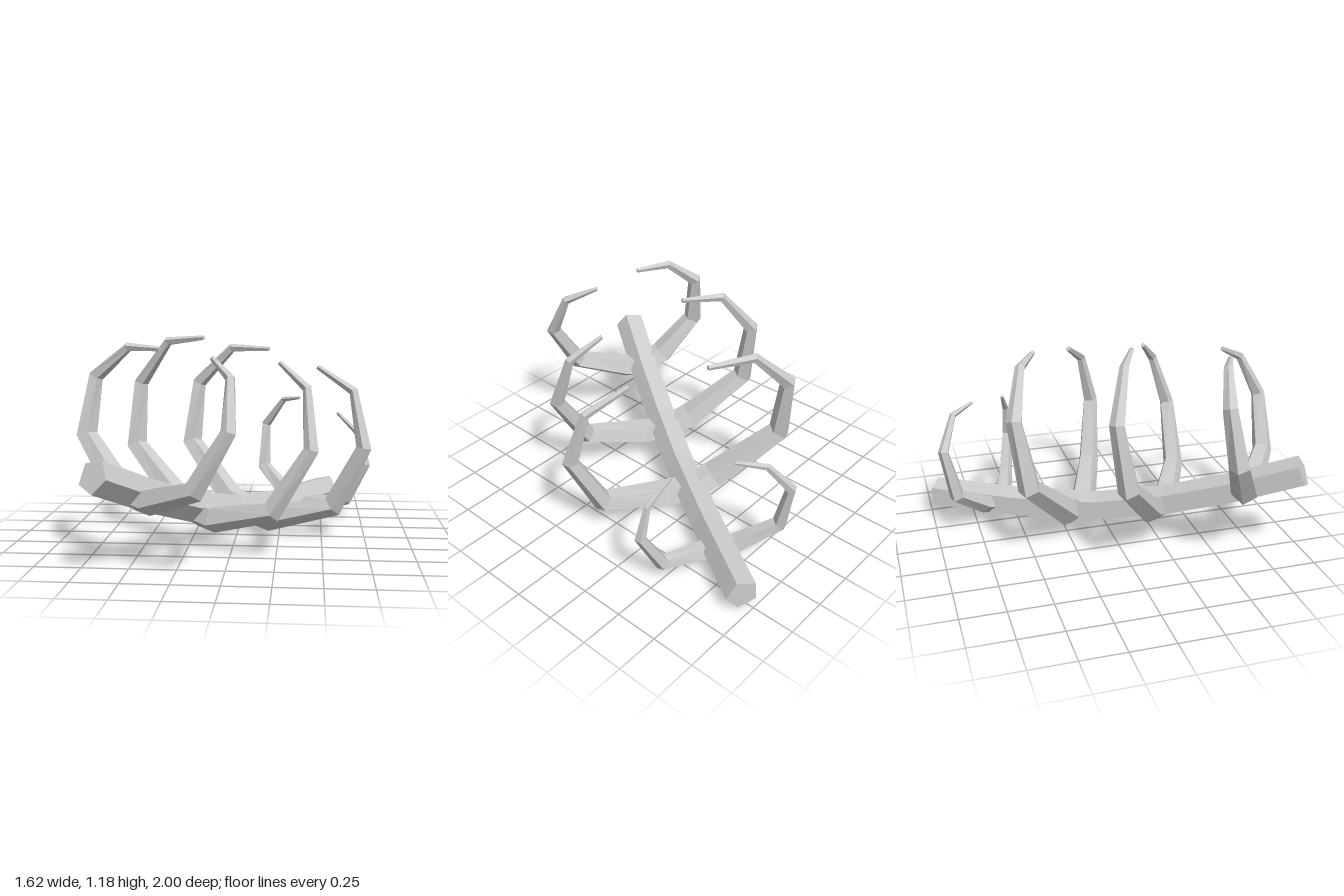
import * as THREE from 'three';

const SIDES = 5;
const material = new THREE.MeshStandardMaterial({ color: 0xcccccc, flatShading: true, side: THREE.DoubleSide });

// Sweeps a tapering pentagon along a bent path, with closed ends.
function sweep(name, path, radii, hint, phase = 0) {
  const pts = path.map((p) => new THREE.Vector3(...p));
  const last = pts.length - 1;
  const rings = pts.map((p, i) => {
    const before = pts[i].clone().sub(pts[Math.max(i - 1, 0)]).normalize();
    const after = pts[Math.min(i + 1, last)].clone().sub(pts[i]).normalize();
    const t = before.add(after).normalize();
    const u = hint.clone().addScaledVector(t, -hint.dot(t)).normalize();
    const v = t.clone().cross(u);
    return Array.from({ length: SIDES }, (_, j) => {
      const a = phase + (j / SIDES) * Math.PI * 2;
      return p.clone()
        .addScaledVector(v, Math.cos(a) * radii[i])
        .addScaledVector(u, -Math.sin(a) * radii[i]);
    });
  });

  const out = [];
  const tri = (...corners) => corners.forEach((c) => out.push(c.x, c.y, c.z));
  for (let i = 0; i < last; i++) {
    for (let j = 0; j < SIDES; j++) {
      const k = (j + 1) % SIDES;
      tri(rings[i][j], rings[i][k], rings[i + 1][k]);
      tri(rings[i][j], rings[i + 1][k], rings[i + 1][j]);
    }
  }
  for (let j = 1; j < SIDES - 1; j++) {
    tri(rings[0][0], rings[0][j + 1], rings[0][j]);
    tri(rings[last][0], rings[last][j], rings[last][j + 1]);
  }
  const geometry = new THREE.BufferGeometry();
  geometry.setAttribute('position', new THREE.Float32BufferAttribute(out, 3));
  geometry.computeVertexNormals();
  const mesh = new THREE.Mesh(geometry, material);
  mesh.name = name;
  return mesh;
}

// Each pair shares a root low in the spine; paths run elbow, side, shoulder, crown, tip.
const ribPairs = [
  {
    root: [-0.47, 0.375, 0.68], scale: 0.95,
    left: [[-0.39, 0.365, 0.75], [-0.13, 0.46, 0.935], [0.04, 0.75, 0.965], [0.035, 1.0, 0.83], [-0.07, 1.09, 0.67]],
    right: [[-0.59, 0.43, 0.62], [-0.765, 0.67, 0.5], [-0.72, 0.98, 0.45], [-0.53, 1.135, 0.51], [-0.35, 1.13, 0.6]],
  },
  {
    root: [-0.195, 0.195, 0.245], scale: 1,
    left: [[-0.1, 0.18, 0.33], [0.23, 0.265, 0.5], [0.435, 0.6, 0.52], [0.41, 0.915, 0.41], [0.26, 1.045, 0.3]],
    right: [[-0.34, 0.265, 0.15], [-0.6, 0.53, -0.05], [-0.58, 0.9, -0.11], [-0.4, 1.145, -0.02], [-0.18, 1.17, 0.09]],
  },
  {
    root: [0.075, 0.11, -0.195], scale: 1.05,
    left: [[0.18, 0.09, -0.105], [0.565, 0.2, 0.035], [0.735, 0.55, 0.095], [0.675, 0.865, 0.02], [0.47, 0.995, -0.11]],
    right: [[-0.06, 0.17, -0.265], [-0.33, 0.48, -0.53], [-0.29, 0.86, -0.59], [-0.07, 1.085, -0.51], [0.17, 1.085, -0.39]],
  },
  {
    root: [0.335, 0.085, -0.62], scale: 0.72,
    left: [[0.4, 0.075, -0.57], [0.66, 0.13, -0.5], [0.78, 0.36, -0.46], [0.735, 0.55, -0.47], [0.6, 0.68, -0.51]],
    right: [[0.265, 0.125, -0.705], [0.12, 0.27, -0.875], [0.13, 0.55, -0.935], [0.25, 0.725, -0.855], [0.36, 0.75, -0.73]],
  },
];
const ribRadii = [0.08, 0.08, 0.062, 0.044, 0.027, 0.014];

export function createModel() {
  const model = new THREE.Group();
  model.name = 'ribCage';

  // Spine, from the low back end to the raised front end
  const heights = [[-0.955, 0.105], [-0.45, 0.11], [-0.05, 0.15], [0.3, 0.245], [0.62, 0.37], [0.945, 0.525]];
  const spinePath = heights.map(([z, y]) => [-0.048 - z * 0.616, y, z]);
  model.add(sweep('spine', spinePath, heights.map(() => 0.093),
    new THREE.Vector3(0, 1, 0), THREE.MathUtils.degToRad(176)));

  // Ribs, one ridge of each pointing outward
  const along = new THREE.Vector3(-0.525, 0, 0.85);
  ribPairs.forEach(({ root, scale, left, right }, i) => {
    const radii = ribRadii.map((r) => r * scale);
    model.add(sweep(`leftRib${i + 1}`, [root, ...left], radii, along));
    model.add(sweep(`rightRib${i + 1}`, [root, ...right], radii, along.clone().negate()));
  });
  return model;
}
